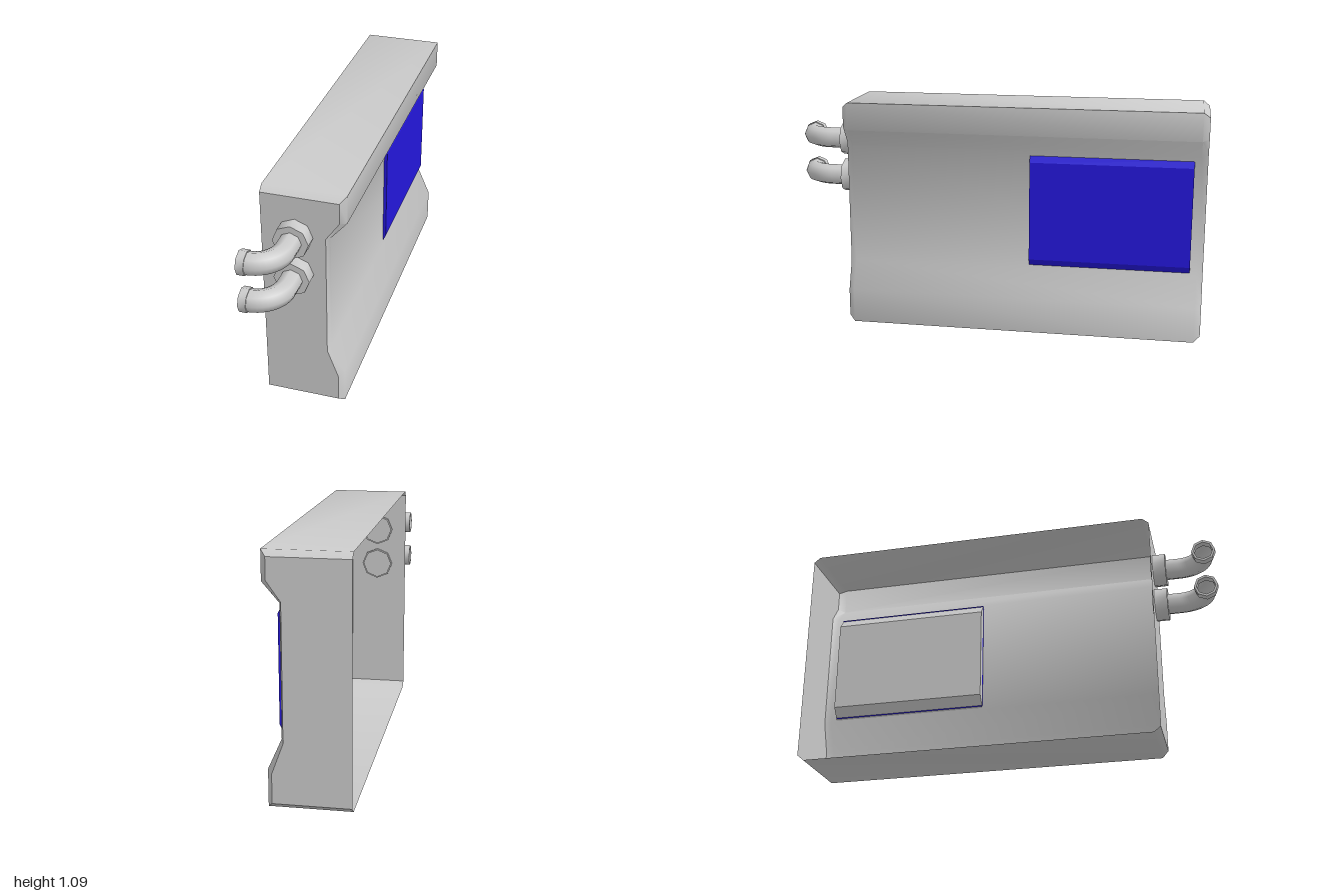
import * as THREE from 'three';
import { toCreasedNormals } from 'three/addons/utils/BufferGeometryUtils.js';

const grey = new THREE.MeshStandardMaterial({ color: 0xcccccc, side: THREE.DoubleSide });
const blue = new THREE.MeshStandardMaterial({ color: 0x2417dc });

function add(parent, name, geometry, material = grey) {
  const mesh = new THREE.Mesh(geometry, material);
  mesh.name = name;
  parent.add(mesh);
  return mesh;
}

// Housing: waisted profile lofted along z, bevelled at both ends, open at the back (-x)
function housingGeometry() {
  const full = [[-0.185, 1.085], [0.185, 1.085], [0.185, 0.955], [0.112, 0.87],
    [0.112, 0.3], [0.172, 0.165], [0.172, 0], [-0.185, 0]];
  const inset = [[-0.185, 1.06], [0.16, 1.06], [0.16, 0.965], [0.1, 0.88],
    [0.1, 0.29], [0.15, 0.155], [0.15, 0.025], [-0.185, 0.025]];
  const sections = [[inset, -1], [full, -0.97], [full, 0.67], [inset, 0.7]];
  const n = full.length;
  const positions = [], index = [];
  for (const [profile, z] of sections) {
    for (const [x, y] of profile) positions.push(x, y, z);
  }
  for (let s = 0; s < sections.length - 1; s++) {
    for (let i = 0; i < n - 1; i++) {
      const a = s * n + i, b = a + 1, c = a + n, d = c + 1;
      index.push(a, c, b, b, c, d);
    }
  }
  // End walls
  const contour = inset.map(([x, y]) => new THREE.Vector2(x, y)).reverse();
  const last = (sections.length - 1) * n;
  for (const tri of THREE.ShapeUtils.triangulateShape(contour, [])) {
    const [a, b, c] = tri.map((i) => n - 1 - i);
    index.push(last + a, last + b, last + c, a, c, b);
  }
  const geometry = new THREE.BufferGeometry();
  geometry.setAttribute('position', new THREE.Float32BufferAttribute(positions, 3));
  geometry.setIndex(index);
  return toCreasedNormals(geometry, 0.85);
}

// Prism along z from an xy outline
function prism(points, z, depth) {
  const shape = new THREE.Shape(points.map(([x, y]) => new THREE.Vector2(x, y)));
  return new THREE.ExtrudeGeometry(shape, { depth, bevelEnabled: false }).translate(0, 0, z);
}

// Octagonal collar along y
function collar(points) {
  const profile = points.map(([r, y]) => new THREE.Vector2(r, y));
  return toCreasedNormals(new THREE.LatheGeometry(profile, 8), 0.85);
}

// Elbow pipe with a wall collar and an open end fitting
function createPipe(y) {
  const pipe = new THREE.Group();
  pipe.name = 'pipe';
  const path = new THREE.CurvePath();
  const v = (x, z) => new THREE.Vector3(x, 0, z);
  path.add(new THREE.LineCurve3(v(-0.035, 0.72), v(-0.035, 0.82)));
  path.add(new THREE.CubicBezierCurve3(
    v(-0.035, 0.82), v(-0.035, 0.888), v(-0.085, 0.943), v(-0.15, 0.945)));
  path.add(new THREE.LineCurve3(v(-0.15, 0.945), v(-0.18, 0.945)));
  add(pipe, 'elbow', new THREE.TubeGeometry(path, 20, 0.05, 8));

  const base = add(pipe, 'wallCollar',
    collar([[0.072, -0.01], [0.08, -0.01], [0.08, 0.06], [0.045, 0.06]]));
  base.rotation.x = Math.PI / 2;
  base.position.set(-0.035, 0, 0.7);

  const end = add(pipe, 'endFitting',
    collar([[0.048, 0], [0.055, 0], [0.055, 0.035], [0.044, 0.035], [0.044, 0]]));
  end.rotation.z = Math.PI / 2;
  end.position.set(-0.15, 0, 0.945);

  pipe.position.y = y;
  return pipe;
}

export function createModel() {
  const model = new THREE.Group();
  model.name = 'wallUnit';
  add(model, 'housing', housingGeometry());

  // Display panel and the casing behind it
  add(model, 'screen', prism([[0.1, 0.31], [0.112, 0.32], [0.127, 0.35],
    [0.127, 0.82], [0.112, 0.85], [0.1, 0.86]], -0.94, 0.755), blue);
  add(model, 'screenCasing', prism([[0.065, 0.36], [0.108, 0.305],
    [0.108, 0.865], [0.065, 0.81]], -0.94, 0.755));

  for (const y of [0.875, 0.69]) model.add(createPipe(y));
  return model;
}
